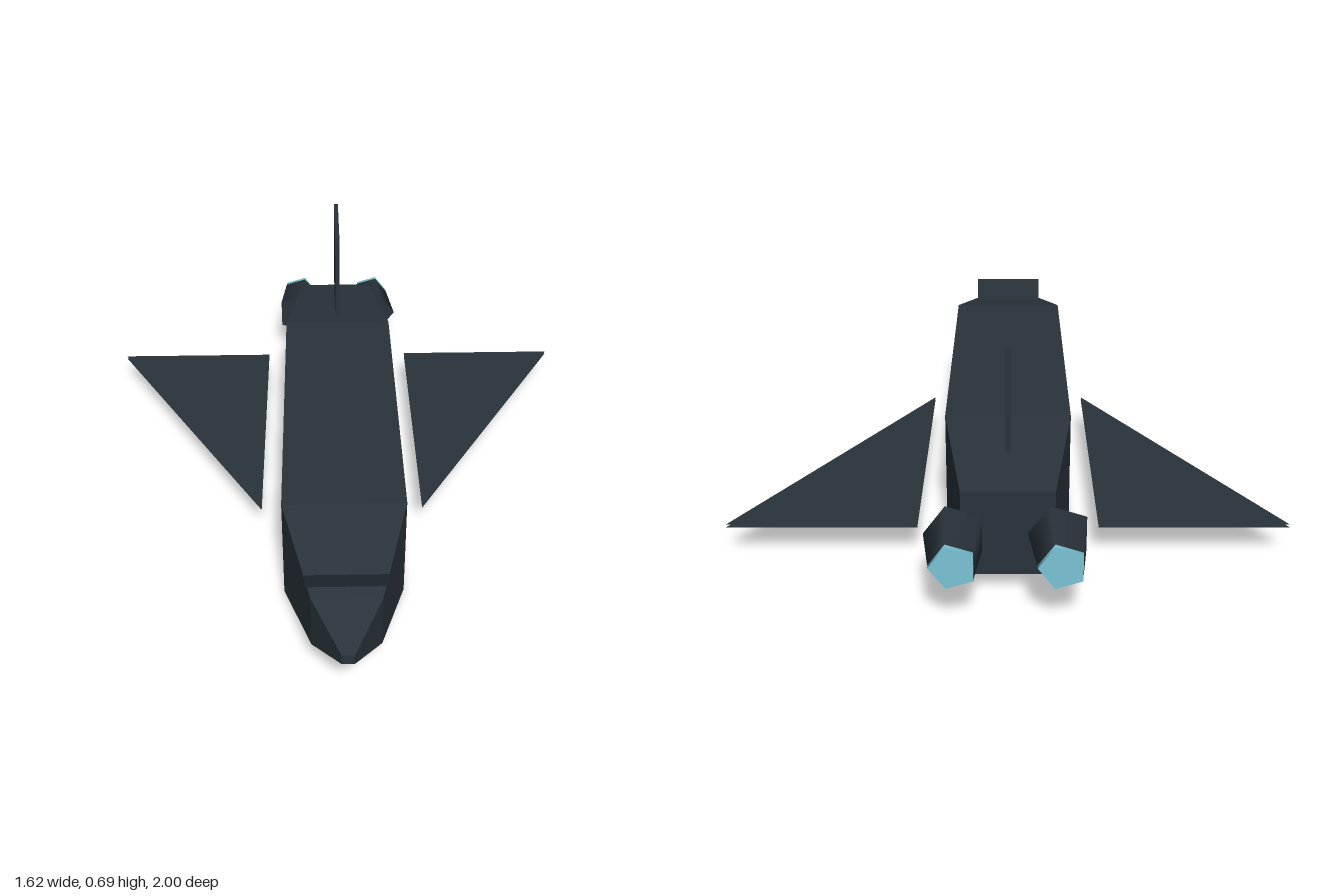
import * as THREE from 'three';

const hull = new THREE.MeshStandardMaterial({ color: 0x29333a, side: THREE.DoubleSide });
hull.name = 'dark slate';
const glow = new THREE.MeshStandardMaterial({ color: 0x7ac4d6 });
glow.name = 'engine cyan';

function add(parent, name, geometry, material, x = 0, y = 0, z = 0) {
  const mesh = new THREE.Mesh(geometry, material);
  mesh.name = name;
  mesh.position.set(x, y, z);
  parent.add(mesh);
  return mesh;
}

// Faceted fuselage from square cross-sections, nose to tail: [z, half width, bottom, top]
function fuselageGeometry() {
  const sections = [
    [1, 0.018, 0.19, 0.223],
    [0.855, 0.1, 0.112, 0.29],
    [0.54, 0.184, 0.011, 0.36],
    [-0.46, 0.184, 0, 0.365],
    [-0.825, 0.128, 0.057, 0.312],
  ];
  const positions = [];
  const index = [];
  for (const [z, w, y0, y1] of sections) {
    positions.push(-w, y0, z, w, y0, z, w, y1, z, -w, y1, z);
  }
  for (let s = 0; s < sections.length - 1; s++) {
    for (let i = 0; i < 4; i++) {
      const a = s * 4 + i, b = s * 4 + (i + 1) % 4;
      index.push(a, a + 4, b, b, a + 4, b + 4);
    }
  }
  const e = (sections.length - 1) * 4;
  index.push(0, 1, 2, 0, 2, 3, e, e + 2, e + 1, e, e + 3, e + 2);
  const indexed = new THREE.BufferGeometry();
  indexed.setAttribute('position', new THREE.Float32BufferAttribute(positions, 3));
  indexed.setIndex(index);
  const geometry = indexed.toNonIndexed();
  geometry.computeVertexNormals();
  return geometry;
}

// Flat delta wing skin; side is +1 for left and -1 for right
function wingGeometry(side) {
  const shape = new THREE.Shape([
    new THREE.Vector2(side * 0.26, -0.26),
    new THREE.Vector2(side * 0.26, 0.645),
    new THREE.Vector2(side * 0.808, 0.645),
  ]);
  return new THREE.ShapeGeometry(shape).rotateX(-Math.PI / 2);
}

// Five-sided frustum pointing backwards, one corner towards +x
function pentagon(rearRadius, frontRadius, length) {
  return new THREE.CylinderGeometry(rearRadius, frontRadius, length, 5, 1, false, Math.PI / 2)
    .rotateX(-Math.PI / 2);
}

export function createModel() {
  const model = new THREE.Group();
  model.name = 'spaceplane';

  add(model, 'fuselage', fuselageGeometry(), hull);

  // Thin plate under the belly, reaching past the tail taper
  add(model, 'bellyPlate', new THREE.BoxGeometry(0.29, 0.009, 0.72), hull, 0, 0.0075, -0.262);

  // Tilted cockpit block on the nose
  const cockpit = add(model, 'cockpit', new THREE.BoxGeometry(0.232, 0.078, 0.144), hull, 0, 0.35, 0.76);
  cockpit.rotation.x = 0.32;

  add(model, 'tailFin', new THREE.BoxGeometry(0.015, 0.298, 0.293), hull, 0, 0.542, -0.6065);

  for (const side of [1, -1]) {
    const label = side > 0 ? 'left' : 'right';

    // Wing of an upper and a lower skin
    const wing = new THREE.Group();
    wing.name = label + 'Wing';
    add(wing, 'upperSkin', wingGeometry(side), hull, 0, 0.108, 0);
    add(wing, 'lowerSkin', wingGeometry(side), hull, 0, 0.099, 0);
    model.add(wing);

    // Engine nozzle with glowing exhaust
    const engine = new THREE.Group();
    engine.name = label + 'Engine';
    engine.position.set(side * 0.1415, 0.184, 0);
    add(engine, 'nozzle', pentagon(0.066, 0.088, 0.16), hull, 0, 0, -0.905);
    add(engine, 'exhaust', pentagon(0.065, 0.065, 0.016), glow, 0, 0, -0.992);
    model.add(engine);
  }
  return model;
}
